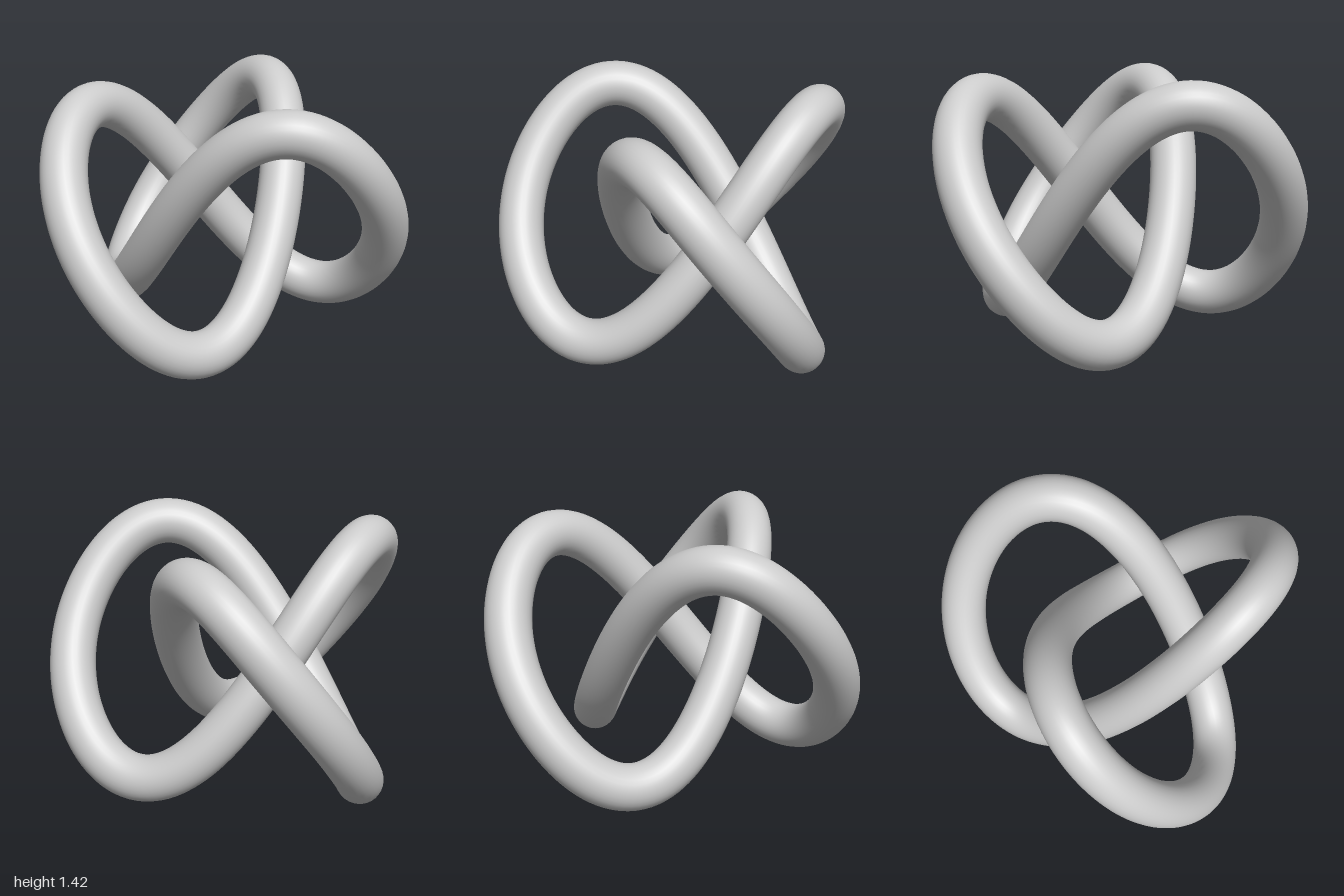
import * as THREE from 'three';

// Closed three-lobed knot path, symmetric about the upright axis
class TrefoilPath extends THREE.Curve {
  getPoint(u, target = new THREE.Vector3()) {
    const t = u * Math.PI * 2;
    const big = 0.6525, small = 0.2975;
    return target.set(
      0.14 - big * Math.cos(2 * t) - small * Math.cos(t),
      0.711 + 0.5735 * (Math.sin(3 * t) - 0.1 * Math.sin(6 * t)),
      -big * Math.sin(2 * t) + small * Math.sin(t)
    );
  }
}

export function createModel() {
  const group = new THREE.Group();
  group.name = 'trefoilKnot';

  // Smooth round tube swept along the knot
  const tube = new THREE.Mesh(
    new THREE.TubeGeometry(new TrefoilPath(), 360, 0.125, 32, true),
    new THREE.MeshStandardMaterial({ color: 0xcccccc })
  );
  tube.name = 'knotTube';
  group.add(tube);

  return group;
}
